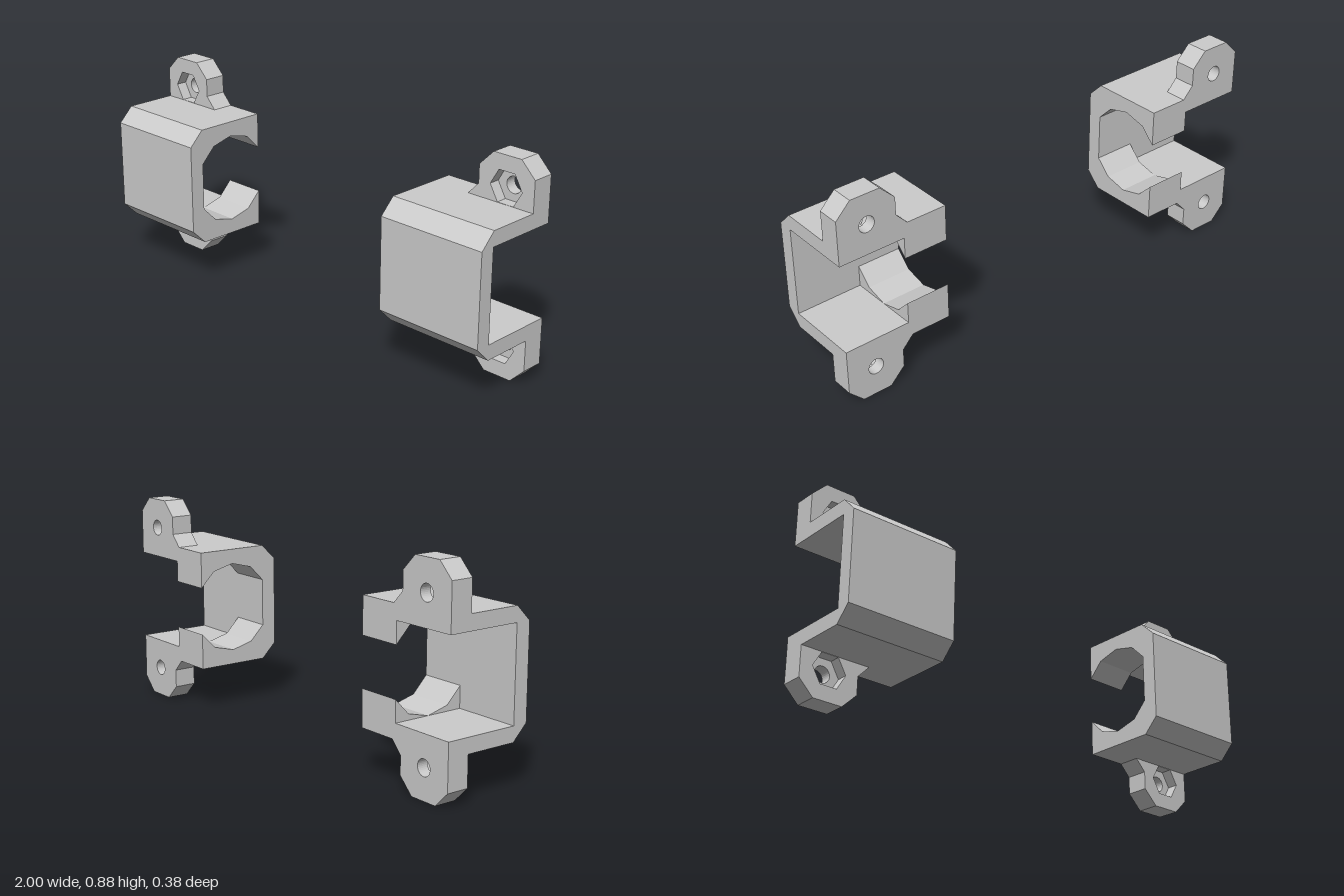
import * as THREE from 'three';

const MID = 0.4375; // height of the horizontal symmetry plane
const BACK = -0.1875;
const material = new THREE.MeshStandardMaterial({ color: 0xcccccc, flatShading: true });

const toShape = (pts) => new THREE.Shape(pts.map(([a, b]) => new THREE.Vector2(a, b)));

// Closes an upper half profile of [z, height above MID] with its mirror image
const mirrored = (half) => [...half, ...half.map(([z, h]) => [z, -h]).reverse()];

// Outer C outline from the back edge round to the front, shared by shell and collar
const OUTER = [[BACK, 0.25], [0.125, 0.25], [0.1875, 0.1875]];

// Extrudes a C-shaped [z, height] profile along x between x0 and x1
function clampSection(name, inner, x0, x1) {
  // inner runs from the front wall to the back edge on the upper half
  const half = [...inner, ...OUTER];
  const shape = toShape(mirrored(half).map(([z, h]) => [-z, MID + h]));
  const geo = new THREE.ExtrudeGeometry(shape, { depth: Math.abs(x1 - x0), bevelEnabled: false });
  geo.rotateY(Math.PI / 2).translate(Math.min(x0, x1), 0, 0);
  const mesh = new THREE.Mesh(geo, material);
  mesh.name = name;
  return mesh;
}

// Screw tab: back layer with a round hole, front layer with a hexagonal nut pocket
function screwTab(name, side, up) {
  const outline = [[0.703, 0.25], [0.75, 0.3], [0.75, 0.375], [0.8125, 0.4375],
    [0.9375, 0.4375], [1, 0.375], [1, 0.25]].map(([x, h]) => [side * x, MID + up * h]);
  const cx = side * 0.875, cy = MID + up * 0.3135;
  const tab = new THREE.Group();
  tab.name = name;
  const layers = [
    ['screwHoleLayer', 32, 0.033, BACK, 0.0475],
    ['nutPocketLayer', 6, 0.072, BACK + 0.0475, 0.0463],
  ];
  for (const [layerName, sides, r, z, depth] of layers) {
    const shape = toShape(outline);
    const hole = Array.from({ length: sides }, (_, i) => {
      const a = (i / sides) * Math.PI * 2;
      return new THREE.Vector2(cx + r * Math.cos(a), cy + r * Math.sin(a));
    });
    shape.holes.push(new THREE.Path(hole));
    const geo = new THREE.ExtrudeGeometry(shape, { depth, bevelEnabled: false });
    const mesh = new THREE.Mesh(geo.translate(0, 0, z), material);
    mesh.name = layerName;
    tab.add(mesh);
  }
  return tab;
}

export function createModel() {
  const model = new THREE.Group();
  model.name = 'clampPair';
  const shellInner = [[0.125, 0.188], [BACK, 0.188]];
  const collarInner = [[0.125, 0.1], [0.0625, 0.164], [-0.031, 0.188], [-0.125, 0.164], [BACK, 0.1]];

  for (const side of [1, -1]) {
    const clamp = new THREE.Group();
    clamp.name = side > 0 ? 'leftClamp' : 'rightClamp';
    clamp.add(
      // Thin-walled outer part and thicker faceted bore at the inner end
      clampSection('shell', shellInner, side * 0.72, side),
      clampSection('collar', collarInner, side * 0.532, side * 0.72),
      screwTab('upperTab', side, 1),
      screwTab('lowerTab', side, -1),
    );
    model.add(clamp);
  }
  return model;
}
